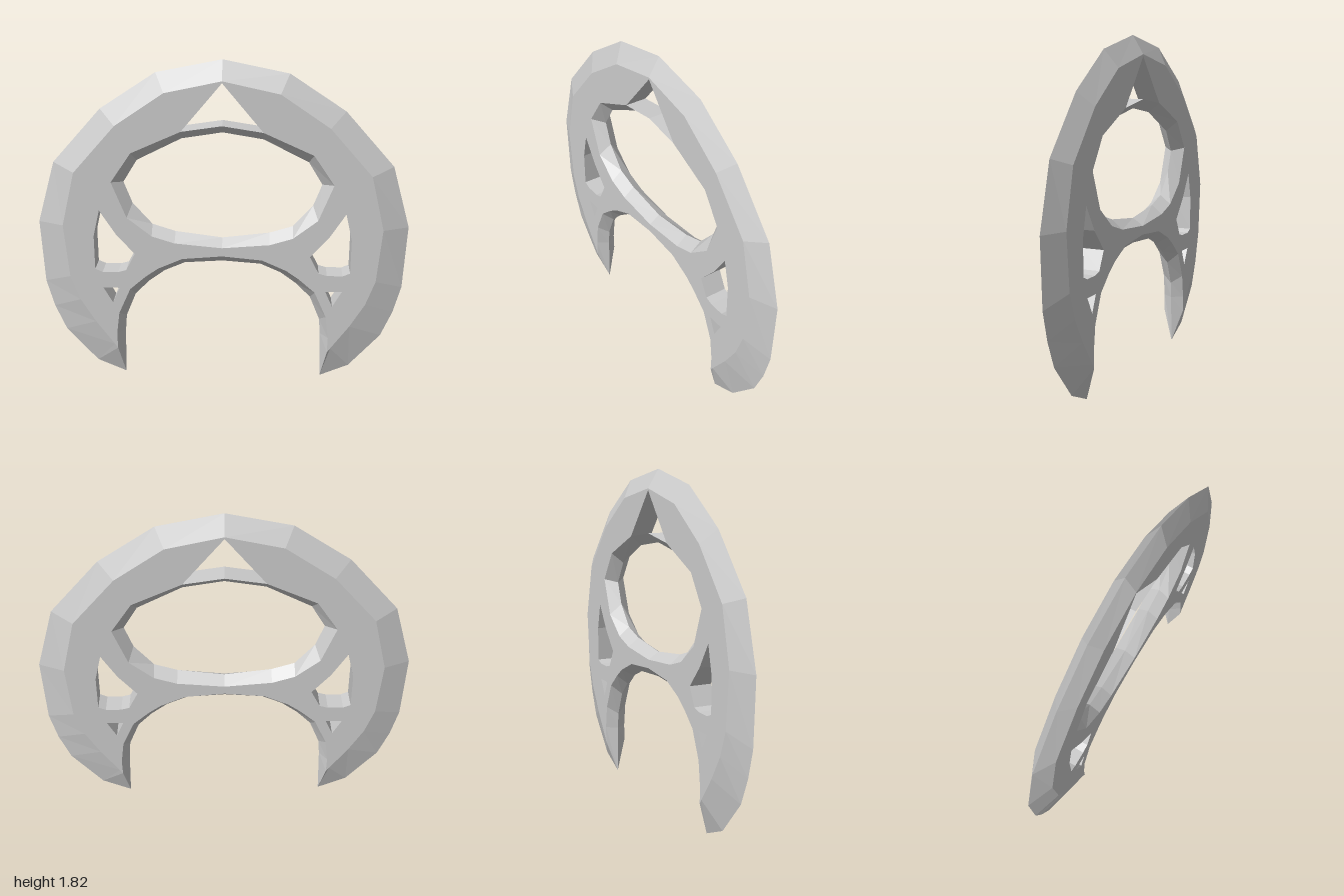
import * as THREE from 'three';

const H = 0.06; // half thickness of the plate
const material = new THREE.MeshStandardMaterial({ color: 0xcccccc, flatShading: true });

// Closes a right-hand half profile (top centre to bottom centre) into a clockwise loop
const closeLoop = (half) => [
  ...half,
  ...half.slice().reverse().filter(([x]) => x > 0).map(([x, y]) => [-x, y]),
];
const reversed = (loop) => loop.slice().reverse();
const mirrored = (loop) => reversed(loop).map(([x, y]) => [-x, y]);
const toPoints = (loop) => loop.map(([x, y]) => new THREE.Vector2(x, y));

// Band of quads joining loop a at depth za to loop b at depth zb
function band(name, a, za, b, zb) {
  const pos = [];
  a.forEach((p, i) => {
    const j = (i + 1) % a.length;
    const A = [...p, za], B = [...a[j], za], C = [...b[j], zb], D = [...b[i], zb];
    pos.push(...A, ...B, ...C, ...A, ...C, ...D);
  });
  const geometry = new THREE.BufferGeometry();
  geometry.setAttribute('position', new THREE.Float32BufferAttribute(pos, 3));
  geometry.computeVertexNormals();
  const mesh = new THREE.Mesh(geometry, material);
  mesh.name = name;
  return mesh;
}

// Bevel running from the front face to a mid-plane ridge and on to the back face
function bevel(name, face, ridge) {
  const group = new THREE.Group();
  group.name = name;
  group.add(band(name + 'Front', face, H, ridge, 0), band(name + 'Back', ridge, 0, face, -H));
  return group;
}

export function createModel() {
  const model = new THREE.Group();
  model.name = 'archPlate';

  // Outline: outer rim, leg tip, then the lower arch
  const outlineFace = closeLoop([
    [0, 1.72], [0.3, 1.655], [0.56, 1.478], [0.787, 1.22], [0.86, 0.92],
    [0.835, 0.62], [0.785, 0.48], [0.705, 0.345], [0.605, 0.205], [0.588, 0.18],
    [0.59, 0.27], [0.573, 0.4], [0.507, 0.548], [0.42, 0.625], [0.35, 0.675],
    [0.217, 0.735], [0, 0.755],
  ]);
  const outlineRidge = closeLoop([
    [0, 1.82], [0.345, 1.75], [0.64, 1.555], [0.902, 1.26], [1, 0.92],
    [0.985, 0.565], [0.945, 0.41], [0.885, 0.265], [0.715, 0.07], [0.556, 0],
    [0.548, 0.27], [0.54, 0.36], [0.485, 0.495], [0.407, 0.575], [0.32, 0.64],
    [0.208, 0.69], [0, 0.705],
  ]);

  // Oval window
  const windowHalf = [
    [0, 1.485], [0.215, 1.452], [0.48, 1.332], [0.59, 1.17], [0.512, 0.97],
    [0.38, 0.865], [0.257, 0.826], [0, 0.803],
  ];
  const windowFace = reversed(closeLoop(windowHalf));
  const windowRidge = reversed(closeLoop([
    [0, 1.435], [0.215, 1.4], [0.455, 1.278], [0.53, 1.155], [0.485, 1.035],
    [0.38, 0.915], [0.255, 0.875], [0, 0.842],
  ]));

  // Peak notch sits directly on the window rim, so the faces share one opening
  const apex = [0, 1.71];
  const notch = reversed([apex, windowHalf[1], windowHalf[0], [-0.215, 1.452]]);
  const faceOpening = reversed(closeLoop([apex, ...windowHalf.slice(1)]));

  // Straight-walled side cut-outs
  const sideHole = [
    [0.66, 1.01], [0.575, 0.875], [0.475, 0.76], [0.525, 0.663],
    [0.57, 0.65], [0.655, 0.65], [0.695, 0.667], [0.695, 0.86],
  ];
  const smallHole = [[0.565, 0.555], [0.605, 0.465], [0.655, 0.555]];
  const cutouts = {
    leftSideHole: sideHole, rightSideHole: mirrored(sideHole),
    leftSmallHole: smallHole, rightSmallHole: mirrored(smallHole),
  };

  // Flat front and back faces
  const shape = new THREE.Shape(toPoints(outlineFace));
  for (const loop of [faceOpening, ...Object.values(cutouts)]) {
    shape.holes.push(new THREE.Path(toPoints(loop)));
  }
  const faceGeometry = new THREE.ShapeGeometry(shape);
  for (const [name, z, turn] of [['frontFace', H, 0], ['backFace', -H, Math.PI]]) {
    const face = new THREE.Mesh(faceGeometry, material);
    face.name = name;
    face.position.z = z;
    face.rotation.y = turn;
    model.add(face);
  }

  // Bevelled edges and hole walls
  model.add(bevel('outerBevel', outlineFace, outlineRidge));
  model.add(bevel('windowBevel', windowFace, windowRidge));
  model.add(band('peakNotchWalls', notch, H, notch, -H));
  for (const [name, loop] of Object.entries(cutouts)) {
    model.add(band(name + 'Walls', loop, H, loop, -H));
  }
  model.position.y = -0.91 + 0.91;
  return model;
}
